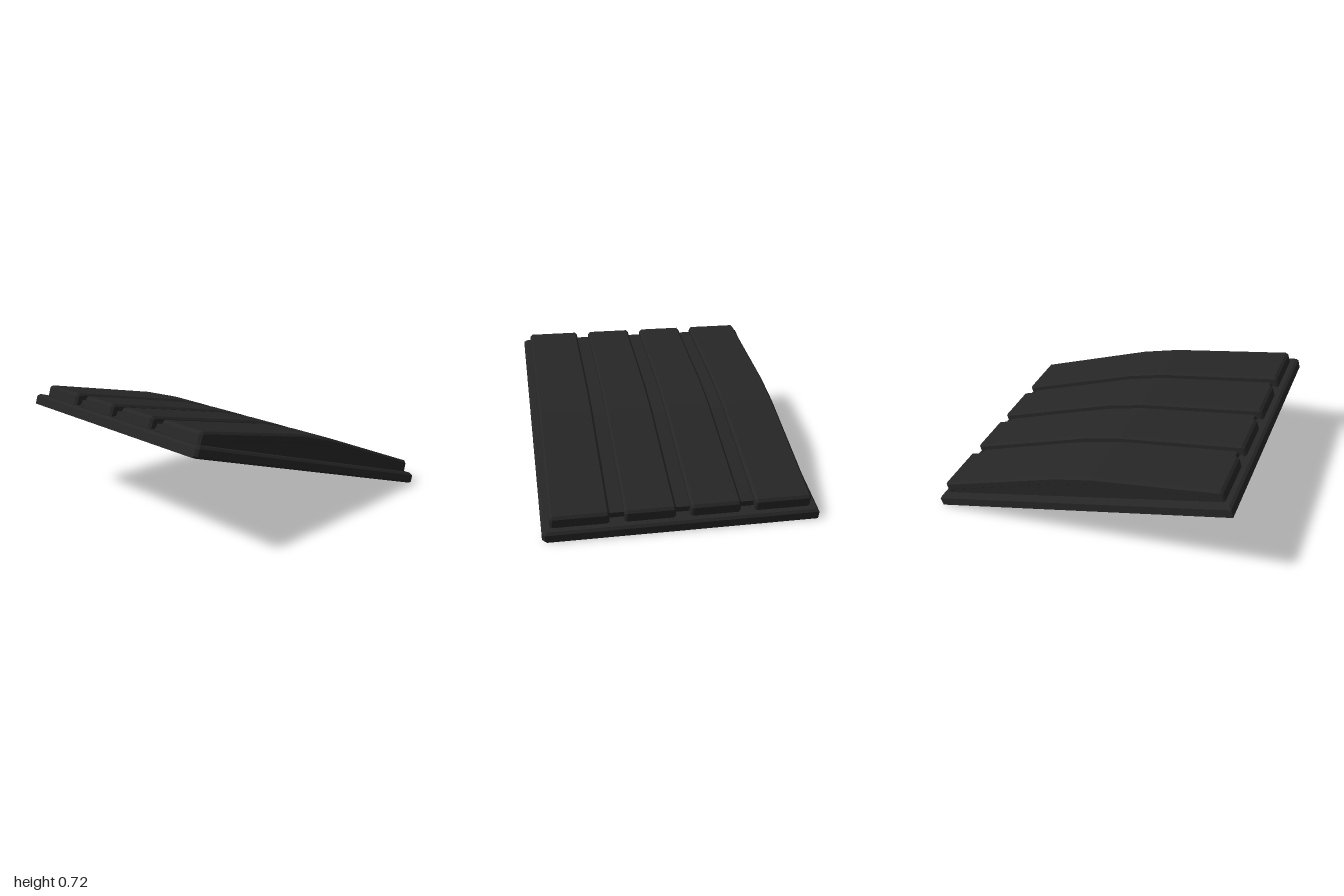
import * as THREE from 'three';

const LENGTH = 2.07, HALF = 0.838;
const material = new THREE.MeshStandardMaterial({ color: 0x262626, flatShading: true });

function addMesh(parent, name, geometry, x = 0) {
  const mesh = new THREE.Mesh(geometry, material);
  mesh.name = name;
  mesh.position.x = x;
  parent.add(mesh);
}

// Side profile of [distance from back, height] points, extruded across the width
function crosswise(points, width, bevel = 0) {
  const shape = new THREE.Shape(points.map(([s, n]) => new THREE.Vector2(s, n)));
  const depth = width - 2 * bevel;
  const geometry = new THREE.ExtrudeGeometry(shape, {
    depth, bevelEnabled: bevel > 0, bevelSize: bevel, bevelThickness: bevel,
    bevelOffset: -bevel, bevelSegments: 1,
  });
  return geometry.translate(0, 0, -depth / 2).rotateY(-Math.PI / 2);
}

// Rectangular outline with the two corners on the left side cut
function outline([y, inset, leftInset = 0]) {
  const x0 = -HALF + inset, x1 = HALF - inset - leftInset;
  const z0 = inset, z1 = LENGTH - inset, c = 0.016;
  return [[x0, z0], [x0, z1], [x1 - c, z1], [x1, z1 - c], [x1, z0 + c], [x1 - c, z0]]
    .map(([x, z]) => [x, y, z]);
}

// Surface joining successive outlines
function frameGeometry(levels) {
  const rings = levels.map(outline), positions = [];
  for (let i = 0; i < rings.length - 1; i++) {
    const low = rings[i], high = rings[i + 1];
    for (let j = 0; j < low.length; j++) {
      const k = (j + 1) % low.length;
      for (const p of [low[j], low[k], high[k], low[j], high[k], high[j]]) positions.push(...p);
    }
  }
  const geometry = new THREE.BufferGeometry();
  geometry.setAttribute('position', new THREE.Float32BufferAttribute(positions, 3));
  geometry.computeVertexNormals();
  return geometry;
}

export function createModel() {
  const model = new THREE.Group();
  model.name = 'ribbedLid';
  const lid = new THREE.Group();
  lid.name = 'tiltedLid';
  lid.rotation.x = -Math.atan2(0.6, 1.98);
  lid.position.z = -0.98;
  model.add(lid);

  // Rim frame: inner wall, underside, outer wall, chamfer, top ledge
  addMesh(lid, 'rimFrame', frameGeometry([
    [0.05, 0.066], [0, 0.066], [0, 0, 0.012], [0.012, 0], [0.055, 0], [0.07, 0.014], [0.07, 0.1],
  ]));

  // Arched deck, hollow below
  addMesh(lid, 'archedDeck', crosswise([
    [0.05, 0.04], [0.05, 0.06], [0.09, 0.065], [0.09, 0.108], [0.93, 0.178], [1.2, 0.178],
    [1.976, 0.107], [1.976, 0.065], [2.02, 0.06], [2.02, 0.04], [1.2, 0.12], [0.93, 0.12],
  ], 1.56));

  // Cheeks closing the arch at both sides
  const cheek = crosswise([
    [0.06, 0.04], [0.06, 0.1], [0.93, 0.17], [1.2, 0.17], [2.01, 0.1], [2.01, 0.04],
  ], 0.022);
  for (const side of [-1, 1]) addMesh(lid, side > 0 ? 'leftCheek' : 'rightCheek', cheek, side * 0.776);

  // Four raised ribs with chamfered edges
  const ribProfile = [
    [0.045, 0.055], [0.045, 0.131], [0.06, 0.147], [0.93, 0.217], [1.2, 0.216], [2.008, 0.145],
    [2.022, 0.128], [2.022, 0.055], [1.95, 0.085], [1.2, 0.155], [0.93, 0.155], [0.12, 0.085],
  ];
  for (const [inner, outer] of [[0.045, 0.352], [0.44, 0.79]]) {
    const rib = crosswise(ribProfile, outer - inner, 0.014);
    for (const side of [-1, 1]) addMesh(lid, 'rib', rib, side * (inner + outer) / 2);
  }
  return model;
}
